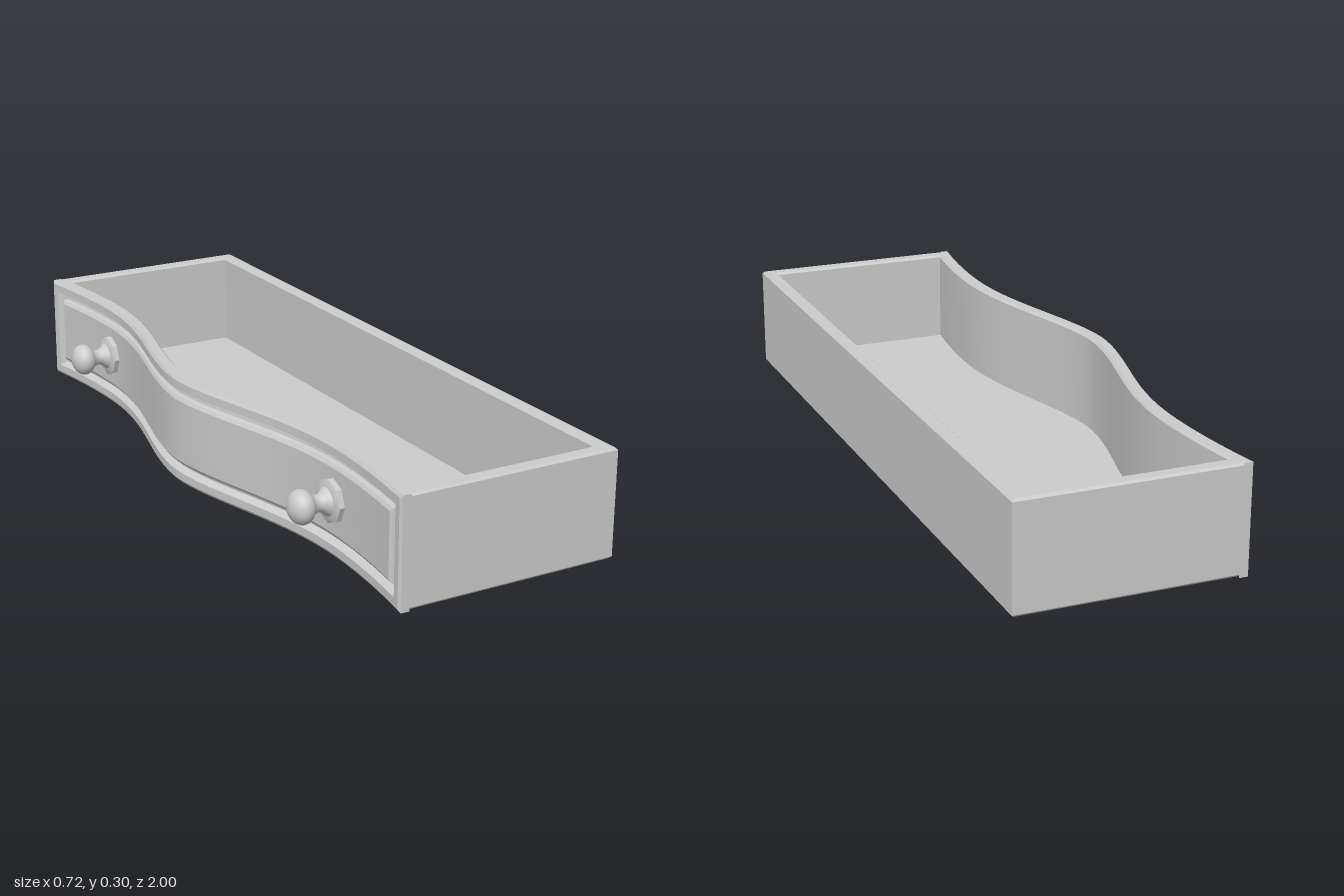
import * as THREE from 'three';
import { toCreasedNormals } from 'three/addons/utils/BufferGeometryUtils.js';

const material = new THREE.MeshStandardMaterial({ color: 0xcccccc });
const TOP = 0.297, BACK = 0.355, HALF = 1, WALL = 0.04;

// Serpentine line of the drawer front: x for a given z.
function frontX(z) {
  const a = Math.abs(z);
  if (a < 0.65) return -0.29 - 0.055 * Math.cos(Math.PI * Math.pow(a / 0.65, 0.87));
  return -0.235 - 0.033 * Math.pow((a - 0.65) / 0.35, 1.8);
}

function addMesh(parent, name, geometry) {
  const mesh = new THREE.Mesh(geometry, material);
  mesh.name = name;
  parent.add(mesh);
  return mesh;
}

// Plan outline: straight back and ends, serpentine front moved in by `inset`.
function outline(half, back, inset) {
  const pts = [new THREE.Vector2(back, -half), new THREE.Vector2(back, half)];
  const n = 48;
  for (let i = 0; i <= n; i++) {
    const z = half - (2 * half * i) / n;
    pts.push(new THREE.Vector2(frontX(z) + inset, z));
  }
  return pts;
}

// Extrudes a plan shape upward from y0 to y1.
function slab(shape, y0, y1, bevel) {
  const g = new THREE.ExtrudeGeometry(shape, {
    depth: y1 - y0 - 2 * bevel, bevelEnabled: bevel > 0, bevelSegments: 1,
    bevelSize: bevel, bevelThickness: bevel, bevelOffset: -bevel,
  });
  g.rotateX(-Math.PI / 2);
  g.translate(0, y0 + bevel, 0);
  return toCreasedNormals(g, 0.5);
}

// Curved front face: a raised panel inside a grooved rim, as [inset, depth] steps.
function frontPanelGeometry() {
  const steps = [[0, 0.03], [0, 0.006], [0.008, 0], [0.03, 0],
    [0.04, 0.02], [0.05, 0.018], [0.053, 0.006], [0.062, 0]];
  const last = steps.length - 1;
  const span = (lo, hi, divisions) => {
    const a = steps.map((s) => lo + s[0]);
    const b = steps.map((s) => hi - s[0]).reverse();
    const start = a[last], end = b[0];
    for (let i = 1; i < divisions; i++) a.push(start + ((end - start) * i) / divisions);
    return a.concat(b);
  };
  const zs = span(-HALF, HALF, 56), ys = span(0, TOP, 2);
  const nz = zs.length, ny = ys.length;
  const positions = [], index = [];
  ys.forEach((y, j) => zs.forEach((z, i) => {
    const ring = Math.min(i, j, nz - 1 - i, ny - 1 - j, last);
    positions.push(frontX(z) + steps[ring][1], y, z);
  }));
  for (let j = 0; j < ny - 1; j++) {
    for (let i = 0; i < nz - 1; i++) {
      const a = j * nz + i, b = a + 1, d = a + nz, c = d + 1;
      // Diagonals follow the mitred corners.
      if ((i < nz / 2 - 1) === (j < ny / 2 - 1)) index.push(a, b, c, a, c, d);
      else index.push(a, b, d, b, c, d);
    }
  }
  const g = new THREE.BufferGeometry();
  g.setAttribute('position', new THREE.Float32BufferAttribute(positions, 3));
  g.setIndex(index);
  return toCreasedNormals(g, 0.4);
}

// Turned knob on an octagonal plate, its axis pointing away from the front.
function createKnob(name) {
  const knob = new THREE.Group();
  knob.name = name;
  const plate = new THREE.CylinderGeometry(0.058, 0.058, 0.025, 8);
  addMesh(knob, 'knobPlate', toCreasedNormals(plate, 0.5)).position.y = 0.0025;
  const rim = new THREE.CylinderGeometry(0.046, 0.058, 0.006, 8);
  addMesh(knob, 'knobPlateBevel', toCreasedNormals(rim, 0.5)).position.y = 0.018;

  const profile = [[0.04, 0.015], [0.037, 0.022], [0.029, 0.03], [0.023, 0.04], [0.022, 0.05], [0.025, 0.058]];
  const points = profile.map(([r, y]) => new THREE.Vector2(r, y));
  for (let i = 0; i <= 14; i++) {
    const t = -0.9 + ((Math.PI / 2 + 0.9) * i) / 14;
    points.push(new THREE.Vector2(Math.max(0, 0.045 * Math.cos(t)), 0.091 + 0.034 * Math.sin(t)));
  }
  addMesh(knob, 'knobHandle', new THREE.LatheGeometry(points, 28));
  knob.rotation.z = Math.PI / 2;
  return knob;
}

export function createModel() {
  const drawer = new THREE.Group();
  drawer.name = 'drawer';

  // Walls in one piece, open in the middle
  const walls = new THREE.Shape(outline(HALF, BACK, 0.022));
  walls.holes.push(new THREE.Path(outline(HALF - WALL, BACK - WALL, WALL).reverse()));
  addMesh(drawer, 'walls', slab(walls, 0.003, TOP, 0.006));

  // Bottom board, let slightly into the walls
  const floor = new THREE.Shape(outline(HALF - WALL + 0.01, BACK - WALL + 0.01, WALL - 0.01));
  addMesh(drawer, 'bottomBoard', slab(floor, 0.003, 0.03, 0));

  // Serpentine front with moulding
  addMesh(drawer, 'frontPanel', frontPanelGeometry());

  // Pair of knobs
  for (const side of [-1, 1]) {
    const knob = createKnob(side < 0 ? 'rearKnob' : 'frontKnob');
    knob.position.set(-0.235, 0.152, side * 0.645);
    drawer.add(knob);
  }
  return drawer;
}
